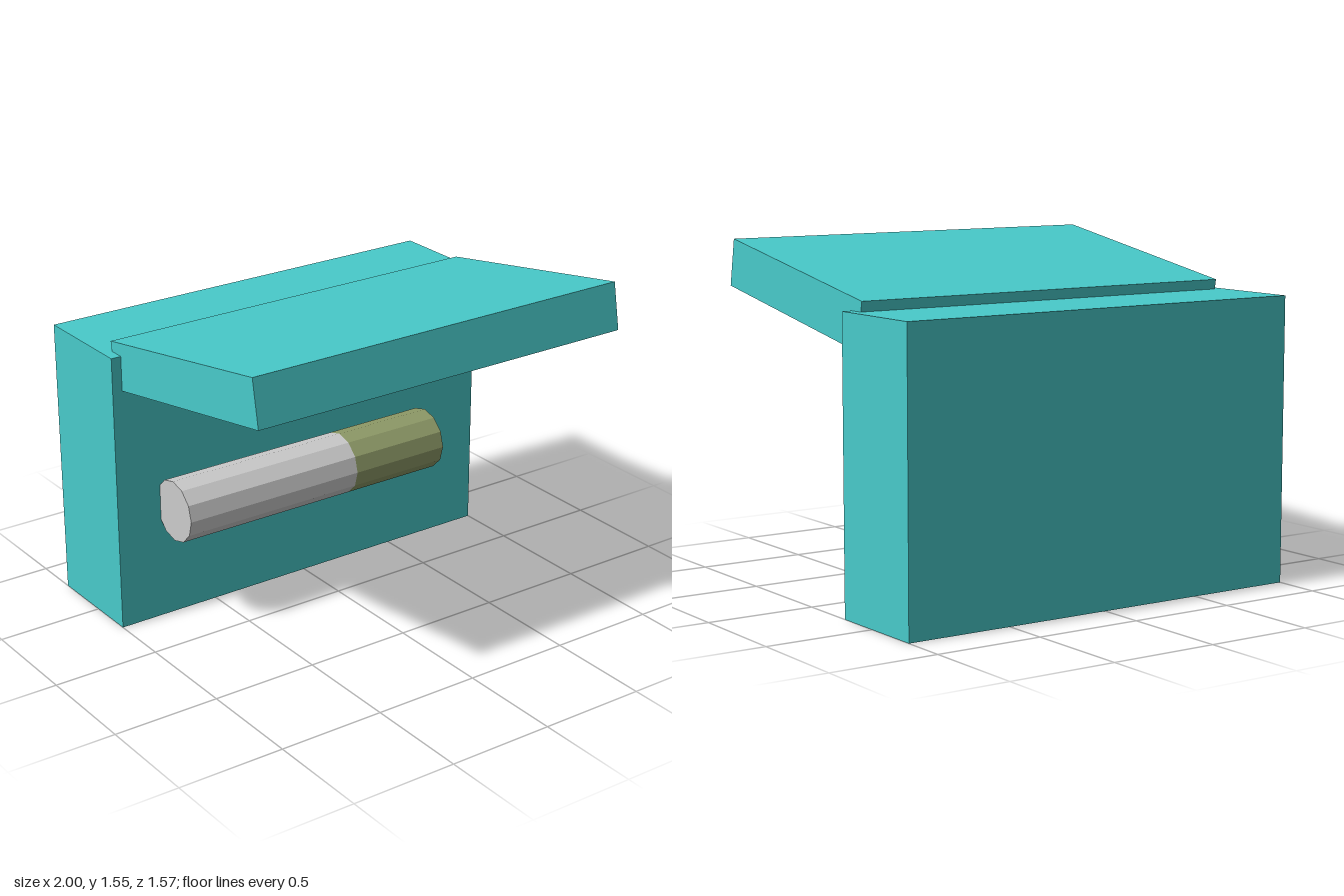
import * as THREE from 'three';

const mat = (color) => new THREE.MeshStandardMaterial({ color, flatShading: true });

export function createModel() {
  const model = new THREE.Group();
  const teal = mat(0x48caca);

  const add = (parent, name, geometry, material, x, y, z) => {
    const mesh = new THREE.Mesh(geometry, material);
    mesh.name = name;
    mesh.position.set(x, y, z);
    parent.add(mesh);
    return mesh;
  };

  // Upright body block
  add(model, 'body', new THREE.BoxGeometry(2, 1.31, 0.505), teal, 0, 0.655, -0.533);

  // Canopy tilted up towards the front, with a panel set into its underside
  const canopy = new THREE.Group();
  canopy.name = 'canopy';
  canopy.position.set(0, 1.347, 0.212);
  canopy.rotation.x = -THREE.MathUtils.degToRad(10.1);
  model.add(canopy);
  add(canopy, 'canopySlab', new THREE.BoxGeometry(1.905, 0.218, 1.128), teal, 0, 0, 0);
  add(canopy, 'undersidePanel', new THREE.BoxGeometry(1.63, 0.08, 0.816), mat(0x72727c), 0, -0.126, -0.035);

  // Horizontal twelve-sided roller in two sections
  const addRoller = (name, x0, x1, color) => {
    const geometry = new THREE.CylinderGeometry(0.145, 0.145, x1 - x0, 12).rotateZ(Math.PI / 2);
    add(model, name, geometry, mat(color), (x0 + x1) / 2, 0.567, -0.167);
  };
  addRoller('rollerRight', -0.78, 0.125, 0xcccccc);
  addRoller('rollerLeft', 0.125, 0.625, 0x8f9b68);

  return model;
}
